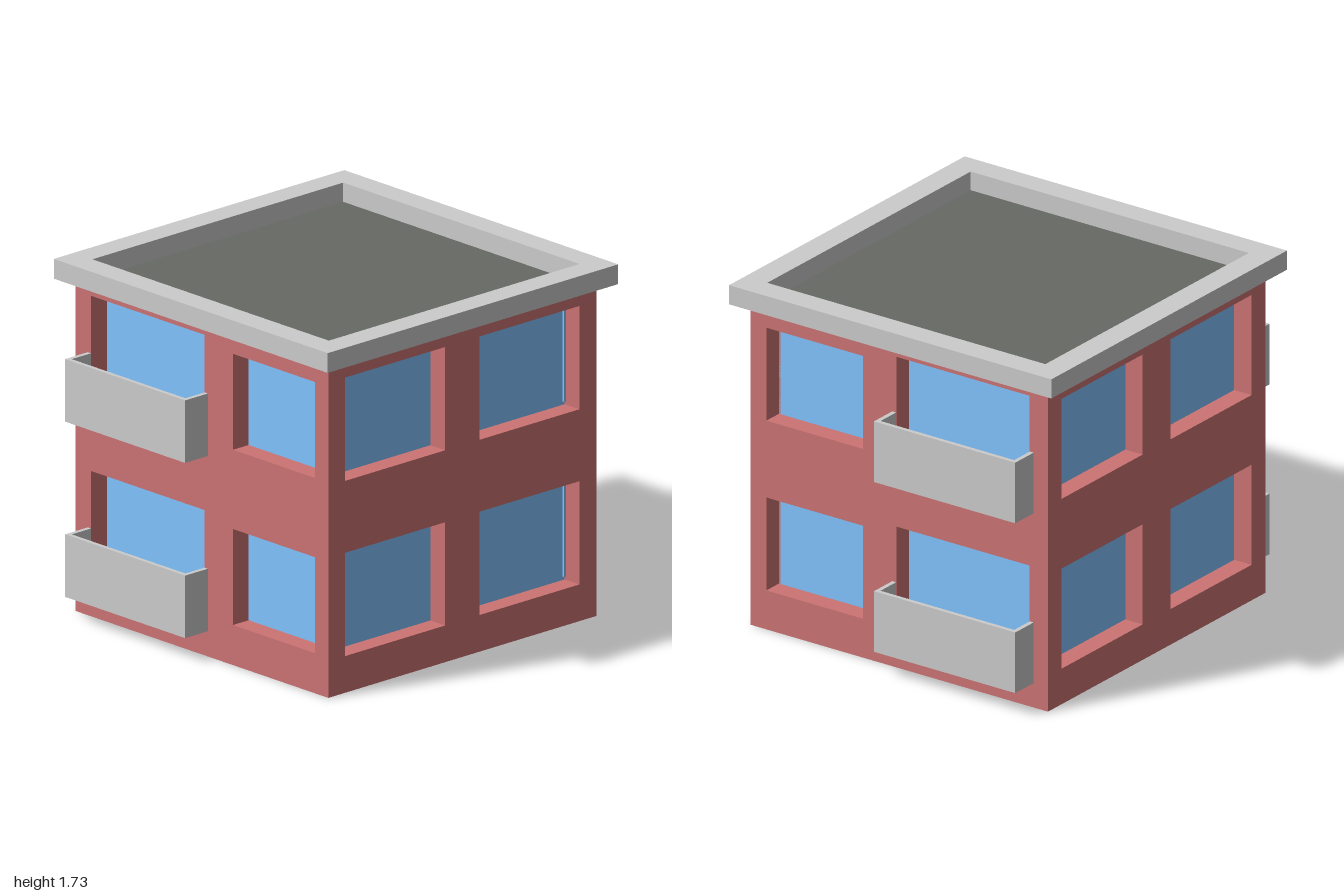
import * as THREE from 'three';

const brick = new THREE.MeshStandardMaterial({ color: 0xcc7373 });
const glass = new THREE.MeshStandardMaterial({ color: 0x82c4ff });
const tar = new THREE.MeshStandardMaterial({ color: 0x676965 });
const stone = new THREE.MeshStandardMaterial({ color: 0xcccccc });

const HALF = 0.855, WALL_TOP = 1.63, RECESS = 0.1, INNER = HALF - RECESS;
const STOREY = 0.86;

function box(name, material, x0, x1, y0, y1, z0, z1) {
  const mesh = new THREE.Mesh(new THREE.BoxGeometry(x1 - x0, y1 - y0, z1 - z0), material);
  mesh.position.set((x0 + x1) / 2, (y0 + y1) / 2, (z0 + z1) / 2);
  mesh.name = name;
  return mesh;
}

function rect(Type, x0, x1, y0, y1) {
  return new Type().moveTo(x0, y0).lineTo(x1, y0).lineTo(x1, y1).lineTo(x0, y1).closePath();
}

// Wall facing +z with recessed windows; each opening is [x0, x1, y0, y1]
function facade(name, half, openings) {
  const group = new THREE.Group();
  group.name = name;
  const shape = rect(THREE.Shape, -half, half, 0, WALL_TOP);
  for (const o of openings) {
    shape.holes.push(rect(THREE.Path, ...o));
    group.add(box('windowPane', glass, ...o, INNER - 0.02, INNER));
  }
  const geometry = new THREE.ExtrudeGeometry(shape, { depth: RECESS, bevelEnabled: false });
  const wall = new THREE.Mesh(geometry.translate(0, 0, INNER), brick);
  wall.name = 'wall';
  group.add(wall);
  return group;
}

// Open-topped balcony with thin parapets
function balcony(x0, x1, y) {
  const group = new THREE.Group();
  group.name = 'balcony';
  const t = 0.022, top = y + 0.307;
  group.add(
    box('balconyFloor', stone, x0, x1, y, y + t, HALF, 1),
    box('balconyFront', stone, x0, x1, y + t, top, 1 - t, 1),
    box('balconySide', stone, x0, x0 + t, y + t, top, HALF, 1 - t),
    box('balconySide', stone, x1 - t, x1, y + t, top, HALF, 1 - t)
  );
  return group;
}

export function createModel() {
  const model = new THREE.Group();
  model.name = 'apartmentBlock';

  // Front and back: balcony door and window on each storey, mirrored in z
  for (const side of [1, -1]) {
    const span = (a, b) => (side > 0 ? [a, b] : [-b, -a]);
    const openings = [];
    for (const y of [0, STOREY]) {
      openings.push([...span(-0.75, 0.017), y + 0.147, y + 0.713]);
      openings.push([...span(0.21, 0.765), y + 0.197, y + 0.668]);
    }
    const face = facade(side > 0 ? 'frontFacade' : 'backFacade', HALF, openings);
    for (const y of [0, STOREY]) face.add(balcony(...span(-0.773, 0.04), y + 0.124));
    if (side < 0) face.rotation.y = Math.PI;
    model.add(face);
  }

  // Left and right: two plain windows on each storey
  for (const side of [1, -1]) {
    const openings = [];
    for (const y of [0, STOREY]) {
      openings.push([-0.747, -0.11, y + 0.18, y + 0.687], [0.11, 0.747, y + 0.18, y + 0.687]);
    }
    const face = facade(side > 0 ? 'leftFacade' : 'rightFacade', INNER, openings);
    face.rotation.y = side * Math.PI / 2;
    model.add(face);
  }

  // Base slab and flat roof
  model.add(box('baseSlab', brick, -INNER, INNER, 0, 0.03, -INNER, INNER));
  model.add(box('roofDeck', tar, -0.81, 0.81, 1.6, WALL_TOP + 0.003, -0.81, 0.81));

  // Overhanging roof parapet
  const ring = rect(THREE.Shape, -0.927, 0.927, -0.927, 0.927);
  ring.holes.push(rect(THREE.Path, -0.8, 0.8, -0.8, 0.8));
  const geometry = new THREE.ExtrudeGeometry(ring, { depth: 0.097, bevelEnabled: false });
  const parapet = new THREE.Mesh(geometry.rotateX(-Math.PI / 2), stone);
  parapet.position.y = WALL_TOP;
  parapet.name = 'roofParapet';
  model.add(parapet);

  return model;
}
